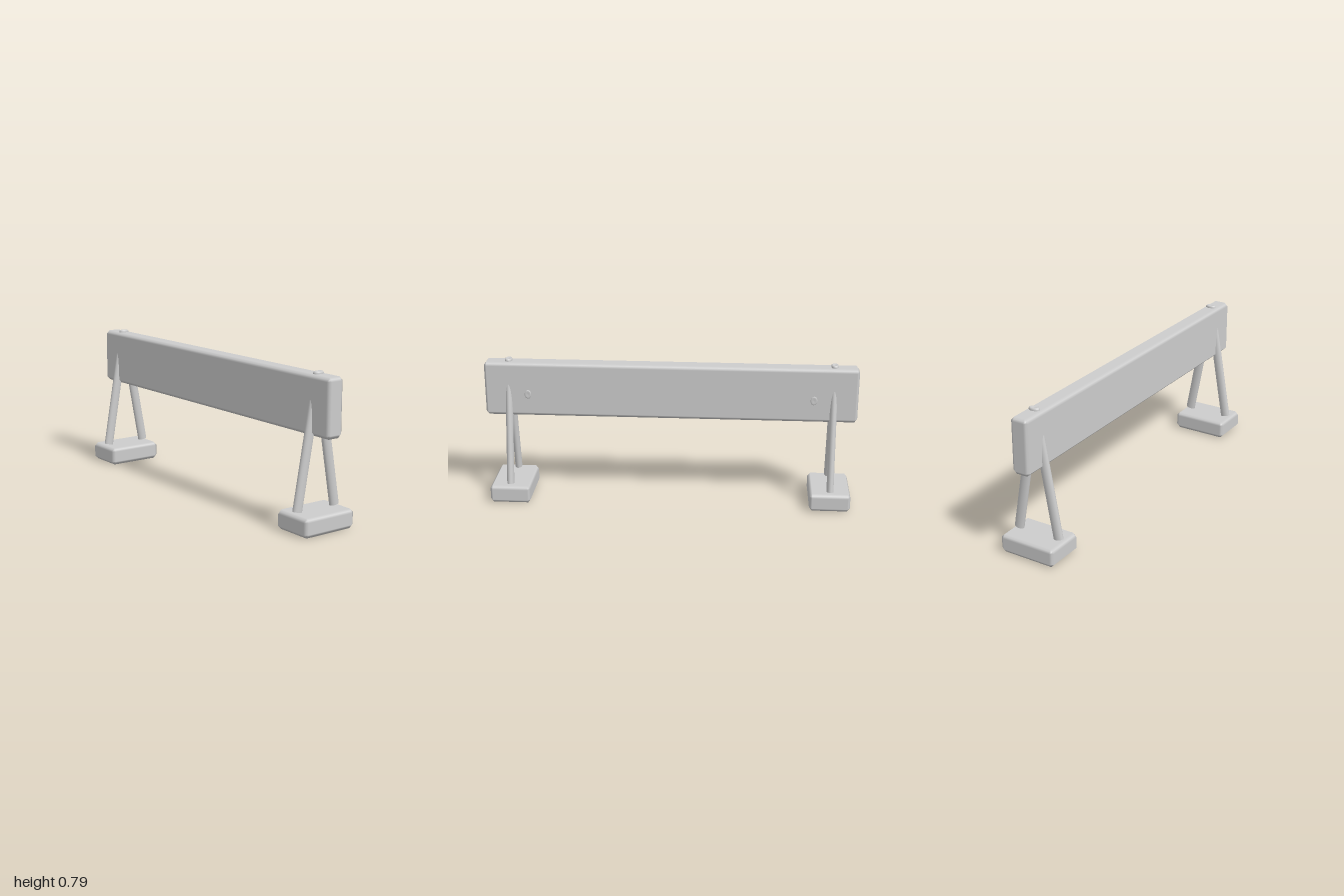
import * as THREE from 'three';

const grey = new THREE.MeshStandardMaterial({ color: 0xcccccc });
grey.name = 'plain grey';

// Box with one soft chamfer: the outer rows of a 3x3x3 box are pulled in
function chamferBox(size, chamfer) {
  const g = new THREE.BoxGeometry(...size, 3, 3, 3);
  const pos = g.attributes.position, nor = g.attributes.normal;
  for (let i = 0; i < pos.count; i++) {
    const c = [pos.getX(i), pos.getY(i), pos.getZ(i)];
    const outer = c.map((v, a) => (Math.abs(v) > size[a] * 0.4 ? 1 : 0));
    const sides = outer[0] + outer[1] + outer[2];
    const p = c.map((v, a) => Math.sign(v) * (size[a] / 2 - chamfer[a] + outer[a] * chamfer[a] / sides));
    const n = c.map((v, a) => Math.sign(v) * outer[a] / Math.sqrt(sides));
    pos.setXYZ(i, ...p);
    nor.setXYZ(i, ...n);
  }
  return g;
}

// Shallow dished stud, unit radius, axis along y
const studGeometry = new THREE.LatheGeometry(
  [[1, -0.5], [1, 0.35], [0.9, 0.8], [0.72, 1], [0.4, 0.8], [0, 0.65]].map(([r, y]) => new THREE.Vector2(r, y)), 20);

export function createModel() {
  const model = new THREE.Group();
  model.name = 'barrier';

  const add = (name, geometry, x, y, z) => {
    const mesh = new THREE.Mesh(geometry, grey);
    mesh.name = name;
    mesh.position.set(x, y, z);
    model.add(mesh);
    return mesh;
  };

  // Long plank
  add('plank', chamferBox([2, 0.3, 0.1], [0.015, 0.02, 0.02]), 0, 0.625, 0);

  const foot = chamferBox([0.22, 0.1, 0.32], [0.015, 0.02, 0.02]);
  const leg = new THREE.CylinderGeometry(1, 1, 0.58, 24);
  leg.scale(0.019, 1, 0.027);
  const lean = 0.176;

  for (const side of [1, -1]) {
    const end = side > 0 ? 'left' : 'right';
    add(end + 'Foot', foot, side * 0.87, 0.05, 0);

    // Pair of oval legs leaning together into the plank
    for (const face of [1, -1]) {
      const mesh = add(end + (face > 0 ? 'FrontLeg' : 'BackLeg'), leg, side * 0.87,
        0.106 + 0.29 * Math.cos(lean), face * (0.12 - 0.29 * Math.sin(lean)));
      mesh.rotation.x = -face * lean;
    }

    // Stud on top and smaller one on the back
    add(end + 'TopStud', studGeometry, side * 0.87, 0.775, 0).scale.set(0.02, 0.013, 0.03);
    const back = add(end + 'BackStud', studGeometry, side * 0.765, 0.6, -0.05);
    back.scale.set(0.018, 0.004, 0.024);
    back.rotation.x = -Math.PI / 2;
  }
  return model;
}
